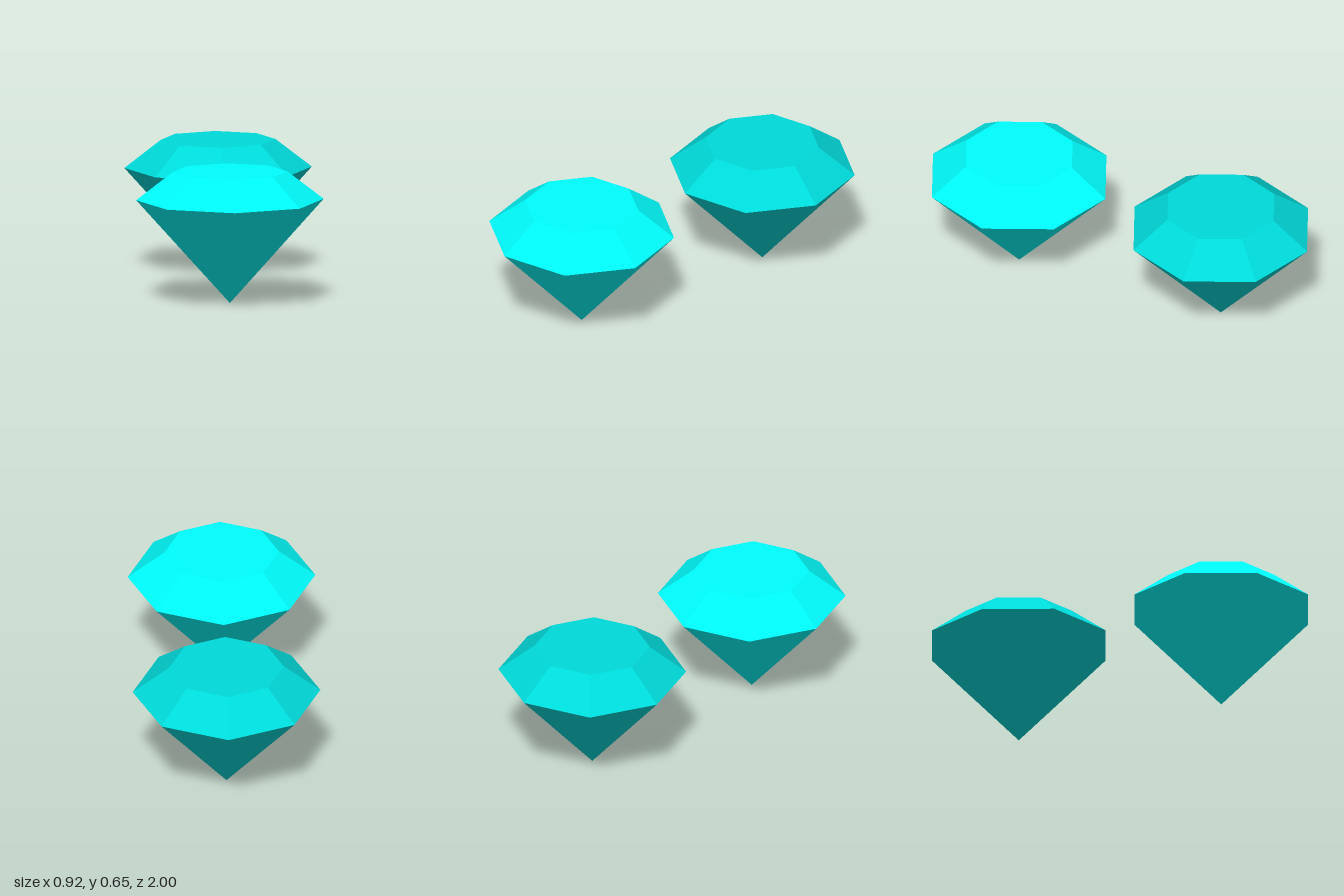
import * as THREE from 'three';

const SIDES = 8;
const GIRDLE_R = 0.461, TABLE_R = 0.282;
const GIRDLE_Y = 0.514, TABLE_Y = 0.652;

// One cut gem standing on its point, corners on the x and z axes
function makeGem(name, color) {
  const gem = new THREE.Group();
  gem.name = name;
  const add = (part, geometry, y, flatShading) => {
    const material = new THREE.MeshStandardMaterial({ color, flatShading });
    const mesh = new THREE.Mesh(geometry, material);
    mesh.name = part;
    mesh.position.y = y;
    gem.add(mesh);
  };

  // Smooth-shaded lower cone
  add('pavilion', new THREE.CylinderGeometry(GIRDLE_R, 0, GIRDLE_Y, SIDES, 1, true), GIRDLE_Y / 2, false);

  // Faceted upper slope
  const crownH = TABLE_Y - GIRDLE_Y;
  add('crown', new THREE.CylinderGeometry(TABLE_R, GIRDLE_R, crownH, SIDES, 1, true), GIRDLE_Y + crownH / 2, true);

  // Flat top, corners matched to the crown
  const table = new THREE.CircleGeometry(TABLE_R, SIDES).rotateX(-Math.PI / 2);
  add('table', table, TABLE_Y, true);
  return gem;
}

export function createModel() {
  const model = new THREE.Group();
  model.name = 'gemPair';
  const front = makeGem('frontGem', 0x00ffff);
  const back = makeGem('backGem', 0x00dada);
  front.position.z = 1 - GIRDLE_R;
  back.position.z = GIRDLE_R - 1;
  model.add(front, back);
  return model;
}
